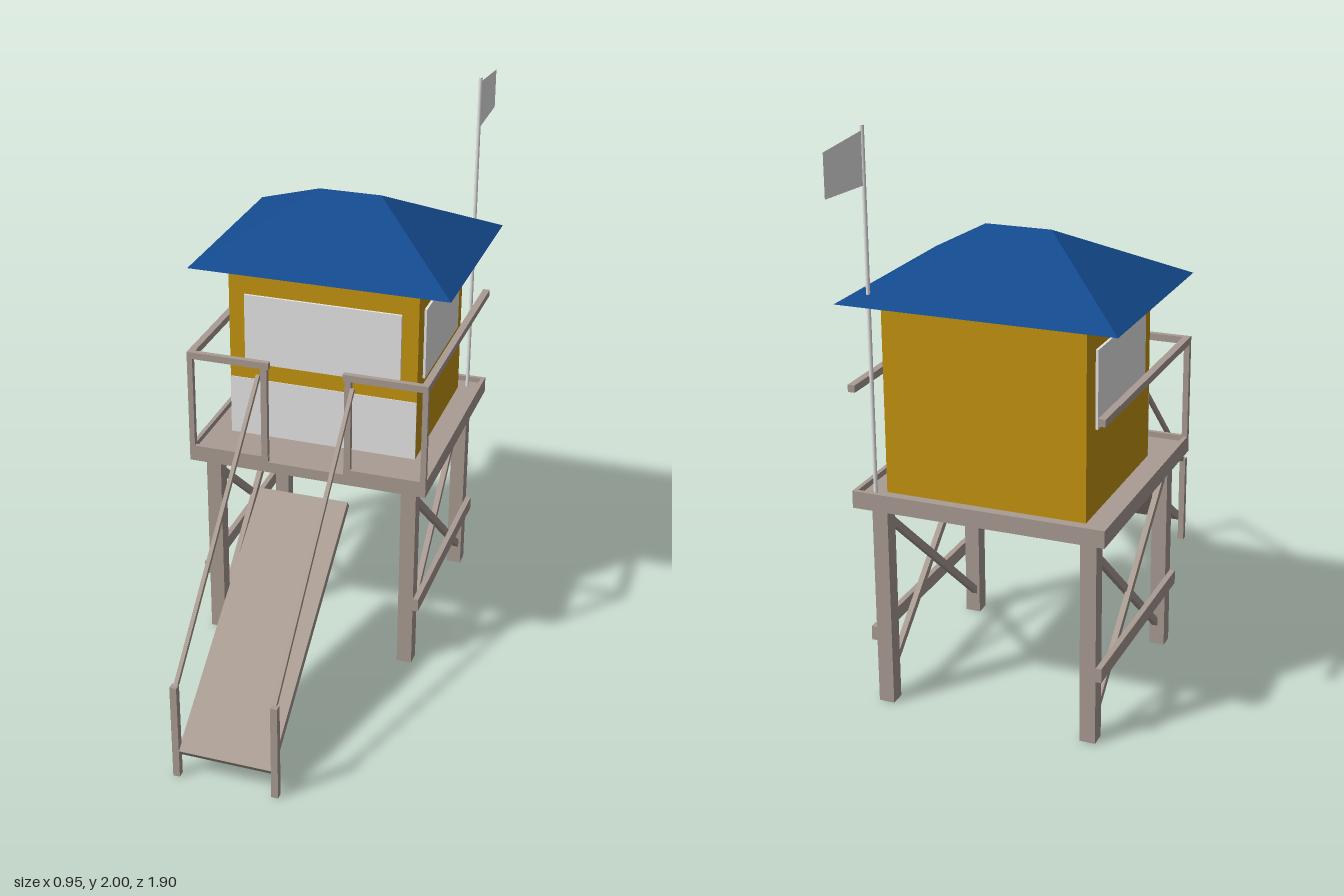
import * as THREE from 'three';

const mat = (name, color, side = THREE.FrontSide) => {
  const m = new THREE.MeshStandardMaterial({ color, side });
  m.name = name;
  return m;
};

export function createModel() {
  const wood = mat('weathered wood', 0xaa9c93);
  const yellow = mat('yellow wall', 0xc49410);
  const blue = mat('blue roof', 0x134a8e);
  const white = mat('white', 0xf2f2f2);
  const whiteCloth = mat('white cloth', 0xf2f2f2, THREE.DoubleSide);

  const model = new THREE.Group();
  model.name = 'lifeguardTower';

  const add = (name, geometry, material) => {
    const mesh = new THREE.Mesh(geometry, material);
    mesh.name = name;
    model.add(mesh);
    return mesh;
  };

  // Box given by its extents along each axis
  const block = (name, [x0, x1], [y0, y1], [z0, z1], material = wood) => {
    const g = new THREE.BoxGeometry(Math.abs(x1 - x0), y1 - y0, Math.abs(z1 - z0));
    g.translate((x0 + x1) / 2, (y0 + y1) / 2, (z0 + z1) / 2);
    return add(name, g, material);
  };

  // Sloping beam in the y-z plane between two [y, z] points
  const beam = (name, x, width, depth, [y0, z0], [y1, z1]) => {
    const g = new THREE.BoxGeometry(width, depth, Math.hypot(y1 - y0, z1 - z0));
    g.rotateX(-Math.atan2(y1 - y0, z1 - z0));
    g.translate(x, (y0 + y1) / 2, (z0 + z1) / 2);
    return add(name, g, wood);
  };

  // Platform with a raised rim, open at the ramp
  block('deck', [-0.44, 0.44], [0.735, 0.775], [-0.76, 0.12]);
  block('rimBack', [-0.425, 0.425], [0.775, 0.795], [-0.76, -0.745]);

  for (const s of [-1, 1]) {
    block('rimSide', [s * 0.425, s * 0.44], [0.775, 0.795], [-0.76, 0.12]);
    block('rimFront', [s * 0.14, s * 0.425], [0.775, 0.795], [0.105, 0.12]);

    // Legs and bracing
    block('frontLeg', [s * 0.34, s * 0.395], [0, 0.735], [0.02, 0.075]);
    block('backLeg', [s * 0.34, s * 0.395], [0, 0.735], [-0.71, -0.655]);
    block('sideBrace', [s * 0.395, s * 0.415], [0.23, 0.28], [-0.71, 0.075]);
    beam('crossBrace', s * 0.375, 0.02, 0.025, [0.67, 0.025], [0.085, -0.66]);
    beam('crossBrace', s * 0.36, 0.02, 0.025, [0.085, 0.025], [0.67, -0.66]);

    // Railings
    block('sideRail', [s * 0.415, s * 0.44], [1.14, 1.165], [-0.76, 0.12]);
    block('frontRail', [s * 0.135, s * 0.415], [1.14, 1.165], [0.1, 0.12]);
    block('cornerPost', [s * 0.42, s * 0.44], [0.775, 1.14], [0.1, 0.12]);
    block('innerPost', [s * 0.142, s * 0.165], [0.775, 1.14], [0.1, 0.12]);

    // Ramp posts and handrails
    block('rampPost', [s * 0.163, s * 0.187], [0, 0.36], [0.925, 0.95]);
    beam('rampRail', s * 0.172, 0.014, 0.016, [1.115, 0.12], [0.355, 0.93]);

    // Side windows
    block('sideWindow', [s * 0.35, s * 0.359], [1.065, 1.33], [-0.605, -0.14], white);
  }

  // Ramp
  beam('ramp', 0, 0.33, 0.03, [0.668, 0.134], [0.094, 0.941]);

  // Cabin
  block('cabin', [-0.35, 0.35], [0.775, 1.43], [-0.685, -0.07], yellow);
  block('frontWindow', [-0.29, 0.29], [1.065, 1.33], [-0.07, -0.061], white);
  block('lowerFrontPanel', [-0.35, 0.35], [0.775, 1.0], [-0.07, -0.067], white);

  // Hipped roof: four eave corners and two ridge ends
  const roof = new THREE.BufferGeometry();
  roof.setAttribute('position', new THREE.Float32BufferAttribute([
    -0.477, 1.43, 0, 0.477, 1.43, 0, 0.477, 1.43, -0.762,
    -0.477, 1.43, -0.762, -0.115, 1.637, -0.381, 0.115, 1.637, -0.381,
  ], 3));
  roof.setIndex([0, 1, 5, 0, 5, 4, 1, 2, 5, 2, 3, 4, 2, 4, 5, 3, 0, 4]);
  const roofFlat = roof.toNonIndexed();
  roofFlat.computeVertexNormals();
  add('roof', roofFlat, blue);

  const soffit = new THREE.PlaneGeometry(0.954, 0.762);
  soffit.rotateX(Math.PI / 2);
  soffit.translate(0, 1.43, -0.381);
  add('roofUnderside', soffit, wood);

  // Flagpole and flag
  const pole = new THREE.CylinderGeometry(0.007, 0.007, 1.225, 10);
  pole.translate(0.382, 1.3875, -0.705);
  add('flagpole', pole, white);

  const flagShape = new THREE.Shape([
    new THREE.Vector2(0.708, 1.81), new THREE.Vector2(0.955, 1.82),
    new THREE.Vector2(0.955, 1.962), new THREE.Vector2(0.708, 1.983),
  ]);
  const flag = new THREE.ShapeGeometry(flagShape);
  flag.rotateY(Math.PI / 2);
  flag.translate(0.382, 0, 0);
  add('flag', flag, whiteCloth);

  return model;
}
